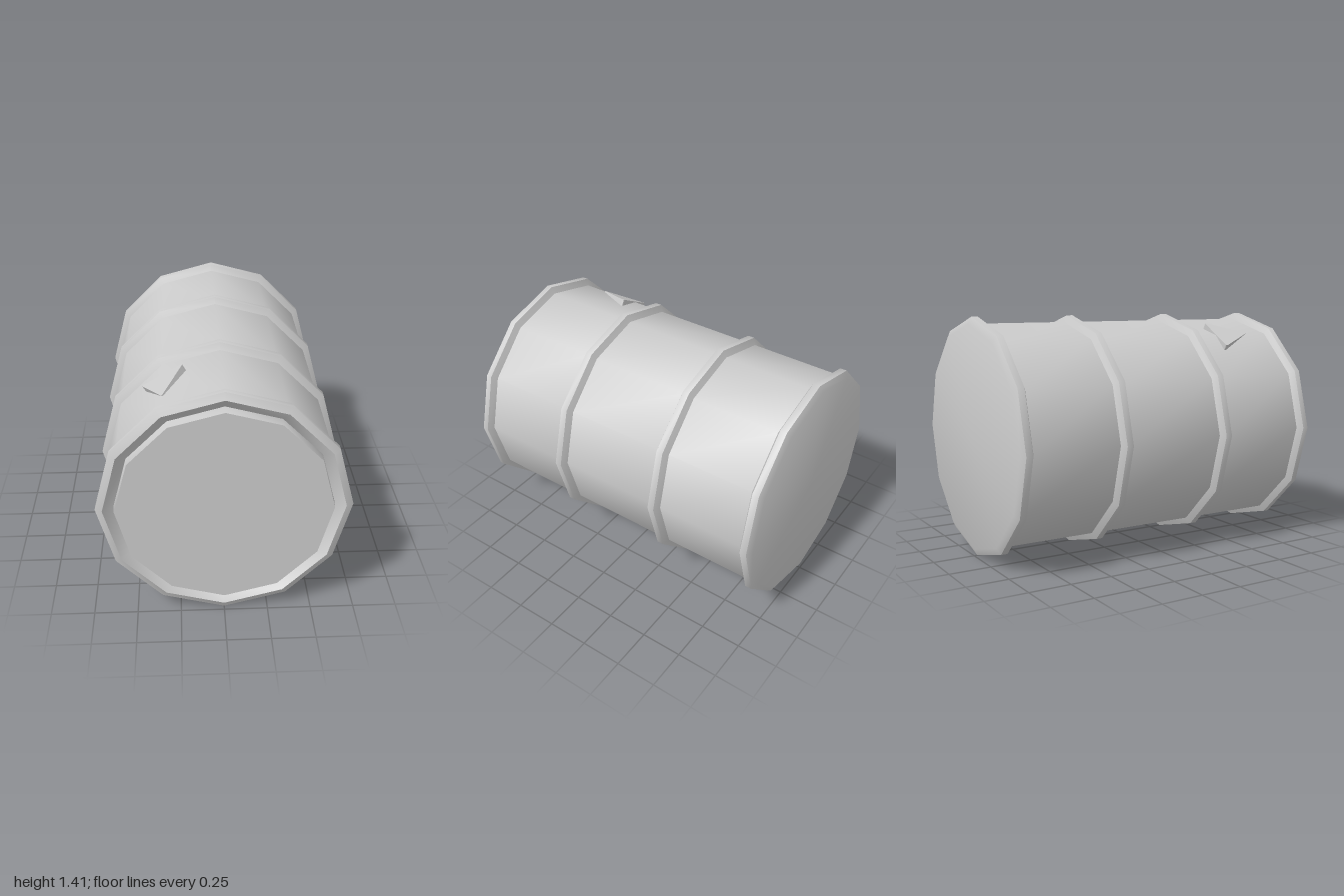
import * as THREE from 'three';
import { toCreasedNormals } from 'three/addons/utils/BufferGeometryUtils.js';

const SIDES = 12;
const R_BODY = 0.665, R_HOOP = 0.705, R_LID = 0.6;

export function createModel() {
  const model = new THREE.Group();
  model.name = 'barrel';
  const material = new THREE.MeshStandardMaterial({ color: 0xcccccc });

  // Everything hangs on the barrel axis, which lies along z
  const axis = new THREE.Group();
  axis.name = 'barrelAxis';
  axis.position.y = R_HOOP;
  model.add(axis);

  const add = (name, geometry, parent = axis) => {
    const mesh = new THREE.Mesh(geometry, material);
    mesh.name = name;
    parent.add(mesh);
    return mesh;
  };

  // Turned part from [radius, z] points running back to front
  const turned = (points) => {
    const g = new THREE.LatheGeometry(points.map(([r, z]) => new THREE.Vector2(r, z)), SIDES);
    g.rotateX(Math.PI / 2);
    return toCreasedNormals(g, 0.6);
  };

  // Bevelled hoop profile between two z positions
  const hoop = (z0, z1) => [
    [R_BODY, z0], [R_HOOP, z0 + 0.02], [R_HOOP, z1 - 0.02], [R_BODY, z1],
  ];

  // Shell: closed back, four hoops, and a front rim sloping into a groove
  add('shell', turned([
    [0, -1],
    ...hoop(-1, -0.92),
    ...hoop(-0.385, -0.305),
    ...hoop(0.305, 0.385),
    ...hoop(0.915, 0.99),
    [R_LID + 0.005, 0.94],
  ]));

  // Front lid, standing slightly proud of the rim
  add('lid', turned([[R_LID + 0.005, 0.94], [R_LID, 1], [0, 1]]));

  // Triangular plate with softened corners, lying on one edge of the shell
  const corners = [[-0.135, -0.52], [0, -0.77], [0.135, -0.52]]
    .map(([x, y]) => new THREE.Vector2(x, y));
  const shape = new THREE.Shape();
  corners.forEach((c, i) => {
    const before = c.clone().lerp(corners[(i + 2) % 3], 0.06);
    const after = c.clone().lerp(corners[(i + 1) % 3], 0.06);
    if (i === 0) shape.moveTo(before.x, before.y);
    else shape.lineTo(before.x, before.y);
    shape.quadraticCurveTo(c.x, c.y, after.x, after.y);
  });
  shape.closePath();
  const plate = new THREE.ExtrudeGeometry(shape, { depth: 0.06, bevelEnabled: false, curveSegments: 3 });
  plate.rotateX(-Math.PI / 2);
  plate.translate(0.008, 0.609, 0);
  add('trianglePlate', plate).rotation.z = Math.PI / 6;

  return model;
}
